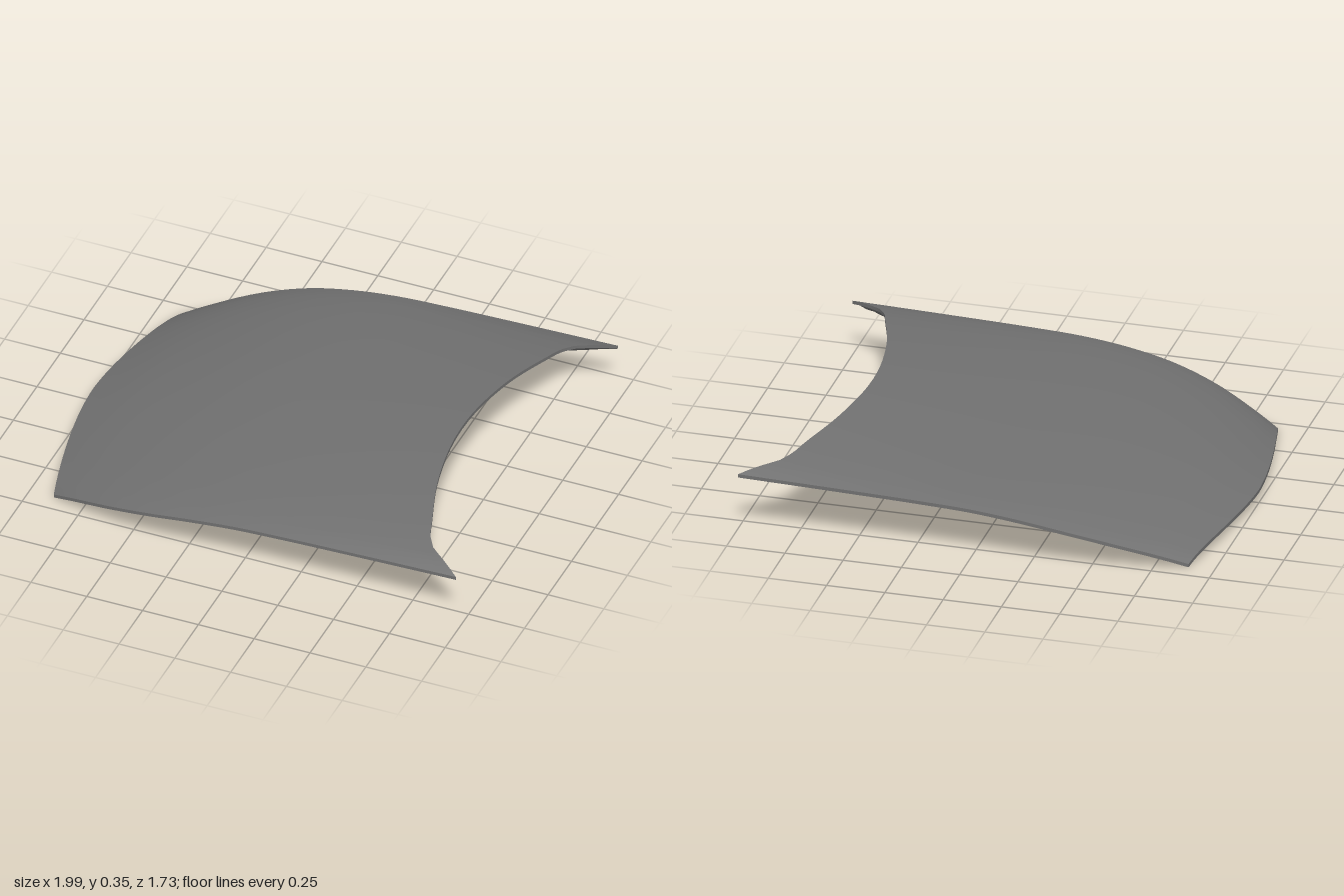
import * as THREE from 'three';
import { toCreasedNormals } from 'three/addons/utils/BufferGeometryUtils.js';

// Smooth interpolation through [x, y] pairs
function smooth(pts) {
  const n = pts.length;
  const chord = i => (pts[i + 1][1] - pts[i][1]) / (pts[i + 1][0] - pts[i][0]);
  const slope = pts.map((_, i) =>
    i === 0 ? chord(0) : i === n - 1 ? chord(n - 2) : (chord(i - 1) + chord(i)) / 2);
  return x => {
    let i = 0;
    while (i < n - 2 && x > pts[i + 1][0]) i++;
    const w = pts[i + 1][0] - pts[i][0];
    const u = THREE.MathUtils.clamp((x - pts[i][0]) / w, 0, 1);
    const u2 = u * u, u3 = u2 * u;
    return (2 * u3 - 3 * u2 + 1) * pts[i][1] + (u3 - 2 * u2 + u) * w * slope[i]
      + (3 * u2 - 2 * u3) * pts[i + 1][1] + (u3 - u2) * w * slope[i + 1];
  };
}

// Plan outline: half width along x, nose edge and notched rear edge across t (-1..1)
const halfWidth = smooth([[-1, 0.62], [-0.89, 0.675], [-0.8, 0.715], [-0.6, 0.793], [-0.4, 0.84],
  [-0.2, 0.857], [0, 0.862], [0.3, 0.863], [1, 0.863]]);
const noseX = t => -1 + 0.11 * Math.abs(t) ** 1.7;
const rearProfile = smooth([[0, 0.655], [0.1, 0.658], [0.23, 0.67], [0.465, 0.71], [0.7, 0.775],
  [0.815, 0.81], [0.875, 0.845], [0.93, 0.91], [1, 0.99]]);
const rearX = t => rearProfile(Math.abs(t));

// Heights of the centre line and of the side edge
const centreY = smooth([[-1, 0.065], [-0.8, 0.14], [-0.6, 0.197], [-0.4, 0.242], [-0.2, 0.274],
  [0, 0.297], [0.3, 0.326], [0.655, 0.355], [1, 0.38]]);
const edgeY = smooth([[-1, -0.025], [-0.89, 0.02], [-0.8, 0.057], [-0.6, 0.127], [-0.4, 0.18],
  [-0.2, 0.217], [0, 0.24], [0.2, 0.25], [0.6, 0.262], [1, 0.272]]);

function topY(x, z) {
  const t = Math.abs(z) / halfWidth(x);
  const drop = 0.75 * t * t + 0.25 * t ** 10;
  return centreY(x) - (centreY(x) - edgeY(x)) * drop;
}

// Underside depth by distance from the rim: thin lip, folded flange, shallow step, panel
const depthSteps = [[0, 0.015], [0.06, 0.042], [0.075, 0.042], [0.11, 0.03], [0.16, 0.036], [5, 0.036]];
function depthAt(d) {
  for (let i = 1; i < depthSteps.length; i++) {
    const [a, p] = depthSteps[i - 1], [b, q] = depthSteps[i];
    if (d <= b) return p + (q - p) * Math.max(0, (d - a) / (b - a));
  }
  return 0.036;
}
function underY(x, z) {
  const w = halfWidth(x), t = THREE.MathUtils.clamp(z / w, -1, 1);
  const d = Math.min(x - noseX(t), rearX(t) - x, (1 - Math.abs(t)) * w);
  return topY(x, z) - depthAt(Math.max(0, d));
}

// Point on the upper or lower surface from s (nose to rear) and t (side to side)
function surfacePoint(s, t, height) {
  const x = THREE.MathUtils.lerp(noseX(t), rearX(t), s);
  const z = t * halfWidth(x);
  return [x, height(x, z), z];
}

// Quad mesh from rows of points
function gridGeometry(rows, flip = false) {
  const cols = rows[0].length, index = [];
  for (let i = 0; i < rows.length - 1; i++) {
    for (let j = 0; j < cols - 1; j++) {
      const a = i * cols + j, b = a + 1, c = a + cols, d = c + 1;
      if (flip) index.push(a, c, b, b, c, d);
      else index.push(a, b, c, b, d, c);
    }
  }
  const geo = new THREE.BufferGeometry();
  geo.setAttribute('position', new THREE.Float32BufferAttribute(rows.flat(2), 3));
  geo.setIndex(index);
  geo.computeVertexNormals();
  return geo;
}

// Grid stations from 0 to 1, with extra lines where the rim folds
function stations(span, count) {
  const fold = [0, 0.03, 0.06, 0.075, 0.11, 0.16].map(d => d / span);
  const first = fold[fold.length - 1], mid = [];
  for (let i = 1; i < count; i++) mid.push(first + (1 - 2 * first) * i / count);
  return [...fold, ...mid, ...fold.map(v => 1 - v).reverse()];
}

// Rounded outline in plan from a few corners
function roundedOutline(corners, radius) {
  const path = new THREE.Path();
  const pts = corners.map(c => new THREE.Vector2(...c));
  pts.forEach((p, i) => {
    const prev = pts[(i + pts.length - 1) % pts.length], next = pts[(i + 1) % pts.length];
    const toward = q => p.clone().add(
      q.clone().sub(p).setLength(Math.min(radius, q.distanceTo(p) * 0.45)));
    const a = toward(prev), b = toward(next);
    if (i === 0) path.moveTo(a.x, a.y); else path.lineTo(a.x, a.y);
    path.quadraticCurveTo(p.x, p.y, b.x, b.y);
  });
  path.closePath();
  return path.getSpacedPoints(72);
}

// Shallow pressed panel that follows the underside
function pressedPanel(corners, radius) {
  const outline = roundedOutline(corners, radius);
  const centre = outline.reduce((s, p) => s.add(p), new THREE.Vector2()).divideScalar(outline.length);
  const rings = [[1, -0.002], [1, 0.004], [0.97, 0.005], [0.75, 0.005], [0.5, 0.005], [0.25, 0.005], [0, 0.005]];
  const rows = rings.map(([k, out]) => outline.map(p => {
    const x = centre.x + (p.x - centre.x) * k, z = centre.y + (p.y - centre.y) * k;
    return [x, underY(x, z) - out, z];
  }));
  const area = THREE.ShapeUtils.area(outline);
  return toCreasedNormals(gridGeometry(rows, area < 0), 0.5);
}

export function createModel() {
  const group = new THREE.Group();
  group.name = 'bonnetPanel';
  const grey = new THREE.MeshStandardMaterial({ color: 0x707070 });
  grey.name = 'satinGrey';
  const add = (name, geo) => {
    const mesh = new THREE.Mesh(geo, grey);
    mesh.name = name;
    group.add(mesh);
  };

  const sList = stations(1.75, 32);
  const tList = stations(1.7, 48).map(v => v * 2 - 1);
  const sheet = height => sList.map(s => tList.map(t => surfacePoint(s, t, height)));

  // Curved outer skin and folded inner panel
  add('outerSkin', gridGeometry(sheet(topY)));
  add('innerPanel', toCreasedNormals(gridGeometry(sheet(underY), true), 0.3));

  // Thin edge all the way round
  const sBack = [...sList].reverse(), tBack = [...tList].reverse();
  const sides = {
    leftEdge: sList.map(s => [s, 1]),
    rearEdge: tBack.map(t => [1, t]),
    rightEdge: sBack.map(s => [s, -1]),
    noseEdge: tList.map(t => [0, t]),
  };
  for (const [name, line] of Object.entries(sides)) {
    add(name, gridGeometry(line.map(([s, t]) => [
      surfacePoint(s, t, topY), surfacePoint(s, t, underY)])));
  }

  // Pressed panels of the inner frame
  add('rearPressing', pressedPanel([[0.02, -0.54], [0.46, -0.68], [0.46, 0.68], [0.02, 0.54]], 0.1));
  add('centrePressing', pressedPanel([[-0.78, -0.15], [-0.12, -0.4], [-0.12, 0.4], [-0.78, 0.15]], 0.12));
  for (const side of [-1, 1]) {
    const corners = [[-0.02, 0.7], [-0.04, 0.59], [-0.77, 0.23], [-0.8, 0.36], [-0.72, 0.55], [-0.42, 0.68]];
    add(side > 0 ? 'leftPressing' : 'rightPressing',
      pressedPanel(corners.map(([x, z]) => [x, z * side]), 0.1));
  }
  return group;
}
